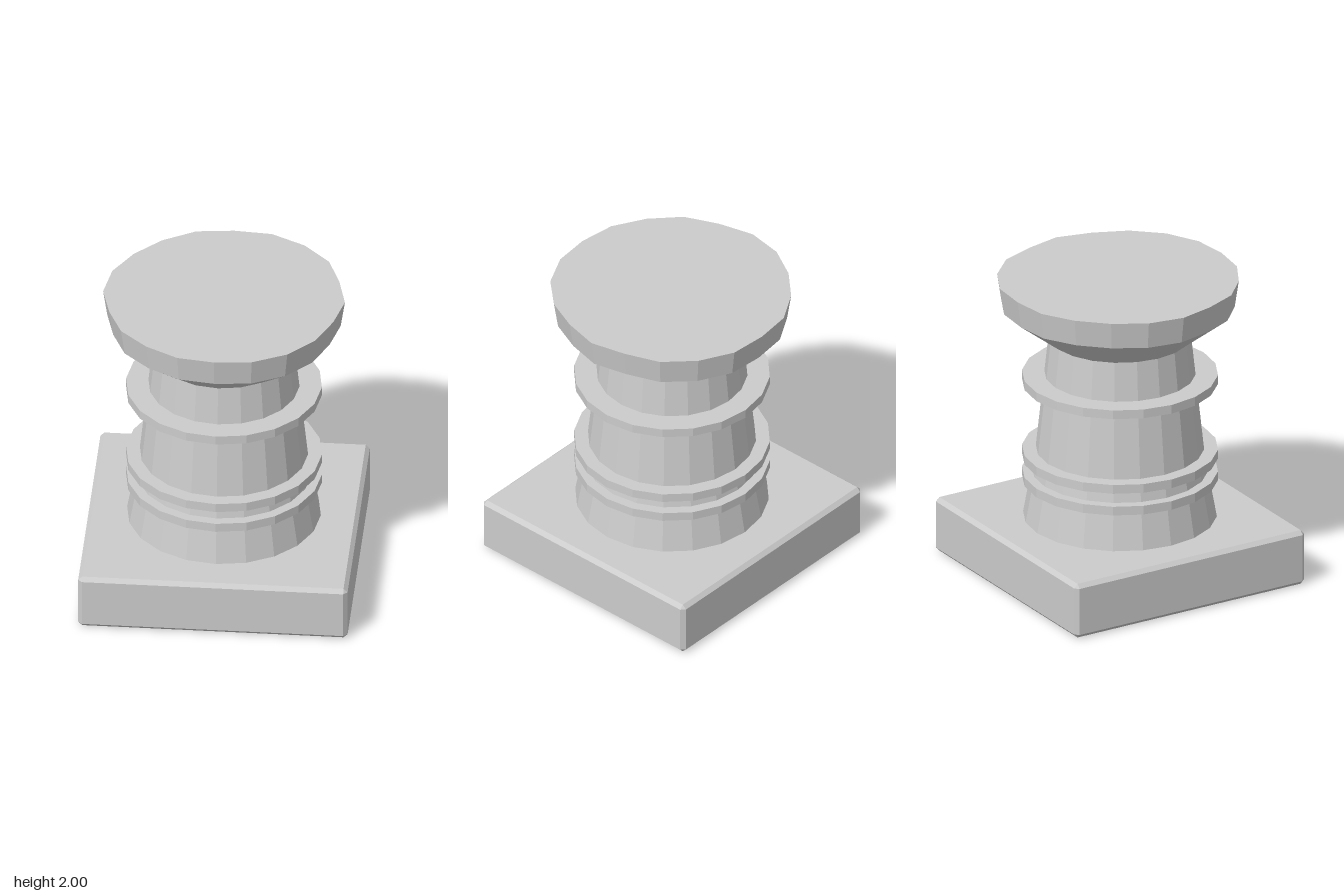
import * as THREE from 'three';
import { ConvexGeometry } from 'three/addons/geometries/ConvexGeometry.js';

const SIDES = 20;

// Slightly uneven, hand-cut rim radii of the capital, from front (+z) towards +x
const RIM = [0.761, 0.776, 0.778, 0.769, 0.754, 0.772, 0.754, 0.782, 0.784, 0.786,
  0.766, 0.776, 0.762, 0.759, 0.771, 0.772, 0.75, 0.765, 0.758, 0.766];

export function createModel() {
  const group = new THREE.Group();
  const material = new THREE.MeshStandardMaterial({ color: 0xcccccc, flatShading: true });

  const add = (name, geometry) => {
    const mesh = new THREE.Mesh(geometry, material);
    mesh.name = name;
    group.add(mesh);
    return mesh;
  };
  // Faceted turned part; profile runs bottom to top as [radius, y]
  const turned = (profile) =>
    new THREE.LatheGeometry(profile.map(([r, y]) => new THREE.Vector2(r, y)), SIDES);

  // Square plinth with chamfered edges and corners
  const half = 0.86, height = 0.37, chamfer = 0.026;
  const corners = [];
  for (const sx of [-1, 1]) for (const sy of [-1, 1]) for (const sz of [-1, 1]) {
    for (let axis = 0; axis < 3; axis++) {
      const inset = [0, 1, 2].map((a) => (a === axis ? 0 : chamfer));
      corners.push(new THREE.Vector3(
        sx * (half - inset[0]),
        height / 2 + sy * (height / 2 - inset[1]),
        sz * (half - inset[2])));
    }
  }
  add('plinth', new ConvexGeometry(corners));

  // Tapering shaft, flaring towards the foot
  add('shaft', turned([[0, 0.36], [0.62, 0.36], [0.54, 0.8], [0.453, 1.62], [0, 1.62]]));

  // Thin collars around the shaft
  for (const y of [0.65, 0.8, 1.315]) {
    add('collar', new THREE.CylinderGeometry(0.625, 0.625, 0.06, SIDES)).position.y = y;
  }

  // Flared capital with a flat top, scaled around to the uneven rim
  const cap = turned([[0, 1.605], [0.46, 1.605], [0.745, 1.82], [0.772, 2], [0, 2]]);
  const p = cap.attributes.position;
  for (let i = 0; i < p.count; i++) {
    const x = p.getX(i), z = p.getZ(i);
    const side = Math.round(Math.atan2(x, z) / (Math.PI * 2) * SIDES + SIDES) % SIDES;
    const k = Math.hypot(x, z) > 0.6 ? RIM[side] / 0.772 : 1;
    p.setXYZ(i, x * k, p.getY(i), z * k);
  }
  cap.computeVertexNormals();
  add('capital', cap);

  return group;
}
